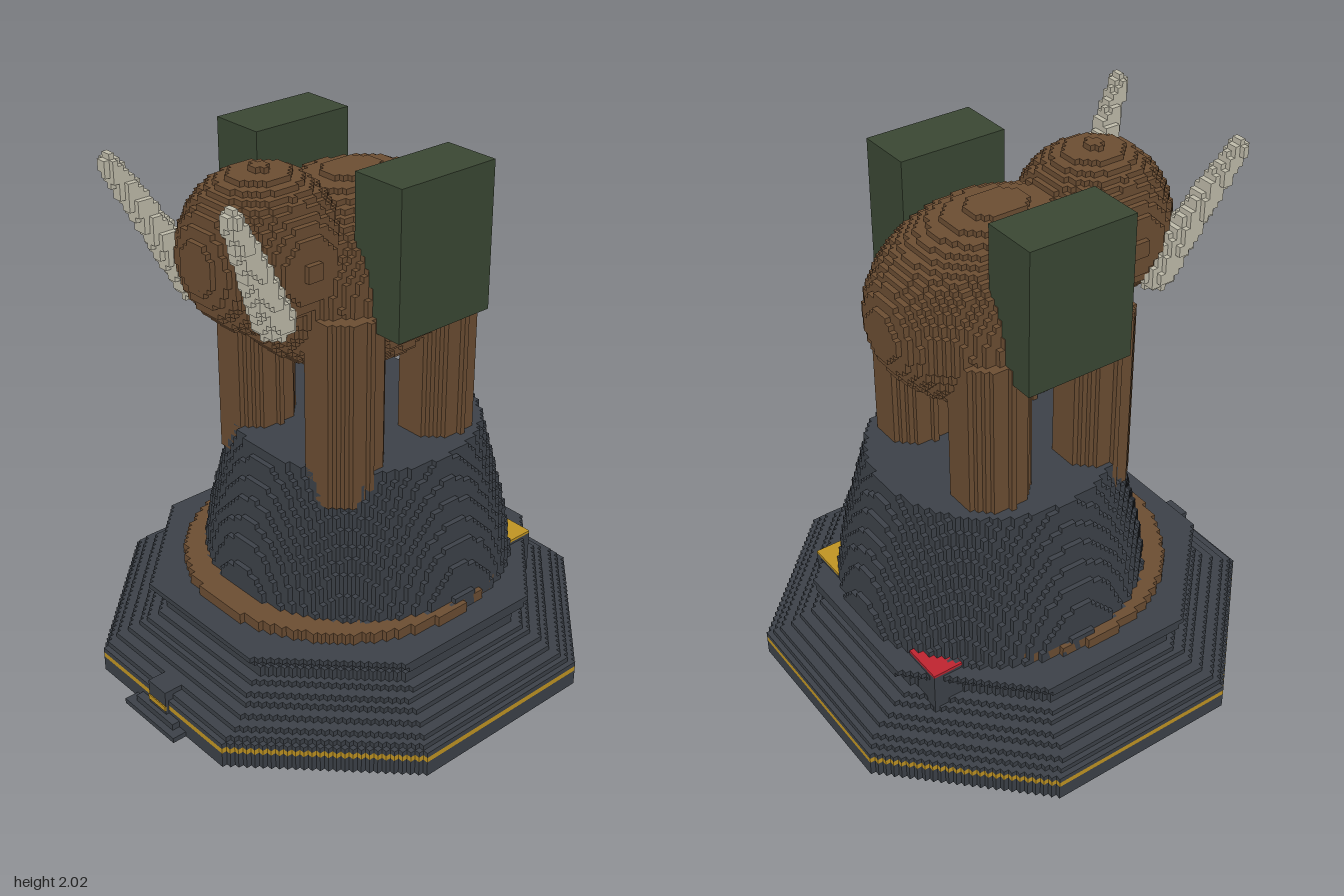
import * as THREE from 'three';

const S = 0.02; // size of one block

const mat = (name, color) => {
  const m = new THREE.MeshStandardMaterial({ color });
  m.name = name;
  return m;
};

// Turns a solid, given as a test inside(x, y, z), into a stepped block surface.
// Neighbouring faces along one axis are joined into strips.
function blocks(min, max, inside) {
  const lo = min.map(v => Math.round(v / S) - 1);
  const hi = max.map(v => Math.round(v / S) + 1);
  const n = lo.map((v, i) => hi[i] - v + 1);
  const cells = new Uint8Array(n[0] * n[1] * n[2]);
  const at = (i, j, k) => (i * n[1] + j) * n[2] + k;
  for (let i = 1; i < n[0] - 1; i++)
    for (let j = 1; j < n[1] - 1; j++)
      for (let k = 1; k < n[2] - 1; k++)
        if (inside((lo[0] + i + 0.5) * S, (lo[1] + j + 0.5) * S, (lo[2] + k + 0.5) * S)) cells[at(i, j, k)] = 1;

  const pos = [];
  const p = [0, 0, 0];
  for (let a = 0; a < 3; a++) {
    const b = (a + 1) % 3, c = (a + 2) % 3;
    for (const d of [1, -1])
      for (let u = 1; u < n[a] - 1; u++)
        for (let w = 1; w < n[c] - 1; w++) {
          let start = -1;
          for (let v = 1; v < n[b]; v++) {
            p[a] = u; p[b] = v; p[c] = w;
            let open = cells[at(...p)] === 1;
            if (open) { p[a] = u + d; open = cells[at(...p)] === 0; }
            if (open && start < 0) start = v;
            if (!open && start >= 0) {
              const corner = (bv, cv) => {
                const q = [0, 0, 0];
                q[a] = (lo[a] + u + (d > 0 ? 1 : 0)) * S;
                q[b] = (lo[b] + bv) * S;
                q[c] = (lo[c] + cv) * S;
                return q;
              };
              const f = [corner(start, w), corner(v, w), corner(v, w + 1), corner(start, w + 1)];
              if (d < 0) f.reverse();
              for (const t of [0, 1, 2, 0, 2, 3]) pos.push(...f[t]);
              start = -1;
            }
          }
        }
  }
  const g = new THREE.BufferGeometry();
  g.setAttribute('position', new THREE.Float32BufferAttribute(pos, 3));
  g.computeVertexNormals();
  return g;
}

// Linear lookup in a [height, radius] profile
function radiusAt(profile, y) {
  for (let i = 1; i < profile.length; i++) {
    const [y0, r0] = profile[i - 1], [y1, r1] = profile[i];
    if (y <= y1) return r0 + (r1 - r0) * (y - y0) / (y1 - y0);
  }
  return profile[profile.length - 1][1];
}

export function createModel() {
  const model = new THREE.Group();
  model.name = 'statue';
  const slate = mat('slate', 0x3c4148);
  const brown = mat('brown', 0x6b4d32);
  const green = mat('darkGreen', 0x3a4733);
  const ivory = mat('ivory', 0xbfbbaa);
  const gold = mat('gold', 0xc09423);
  const red = mat('red', 0xbe2430);

  const add = (name, geometry, material) => {
    const m = new THREE.Mesh(geometry, material);
    m.name = name;
    model.add(m);
  };
  const box = (name, material, x0, x1, y0, y1, z0, z1) => {
    const g = new THREE.BoxGeometry(x1 - x0, y1 - y0, z1 - z0);
    g.translate((x0 + x1) / 2, (y0 + y1) / 2, (z0 + z1) / 2);
    add(name, g, material);
  };

  // Octagonal base: slab, gold band and waisted plinth
  const baseZ = -0.033;
  const octagon = (x, z, r) => {
    const ax = Math.abs(x), az = Math.abs(z - baseZ);
    return Math.max(ax, az, (ax + az) * Math.SQRT1_2) < r;
  };
  const octagonPart = (y0, y1, radius) =>
    blocks([-0.9, y0, -0.94], [0.9, y1, 0.9], (x, y, z) => y > y0 && y < y1 && octagon(x, z, radius(y)));
  add('baseSlab', octagonPart(0, 0.06, () => 0.868), slate);
  add('goldBand', octagonPart(0.06, 0.08, () => 0.868), gold);
  add('baseTop', octagonPart(0.08, 0.1, () => 0.868), slate);
  const plinth = [[0.1, 0.86], [0.13, 0.82], [0.16, 0.76], [0.2, 0.69], [0.23, 0.635],
    [0.27, 0.63], [0.3, 0.66], [0.315, 0.69], [0.34, 0.69]];
  add('plinth', octagonPart(0.1, 0.34, y => radiusAt(plinth, y)), slate);

  // Small stepped block at the front of the base
  box('frontStepLower', slate, -0.147, 0.147, 0, 0.02, 0.8, 0.895);
  box('frontStepMiddle', slate, -0.11, 0.11, 0.02, 0.045, 0.8, 0.87);
  box('frontStepUpper', slate, -0.05, 0.05, 0.04, 0.14, 0.76, 0.853);
  box('frontStepBand', gold, -0.05, 0.05, 0.06, 0.08, 0.85, 0.857);

  // Rear corner blocks with coloured caps
  for (const [side, material, name] of [[-1, red, 'redCap'], [1, gold, 'goldCap']]) {
    const x0 = side < 0 ? -0.41 : 0.25, x1 = x0 + 0.16;
    box('rearBlock', slate, x0, x1, 0.15, 0.35, -0.638, -0.5);
    box(name, material, x0, x1, 0.35, 0.36, -0.638, -0.5);
  }

  // Round tapering pedestal, set back on a thin brown disc
  const pedestalZ = -0.107;
  add('brownRing', blocks([-0.64, 0.34, -0.66], [0.64, 0.36, 0.6],
    (x, y, z) => Math.hypot(x, z - baseZ) < 0.595), brown);
  const taper = [[0.34, 0.58], [0.55, 0.545], [0.9, 0.452]];
  add('pedestal', blocks([-0.62, 0.34, -0.74], [0.62, 0.9, 0.54],
    (x, y, z) => Math.hypot(x, z - pedestalZ) < radiusAt(taper, y)), slate);

  // Animal: body and head as ellipsoids
  const ellipsoid = (cx, cy, cz, rx, ry, rz) => blocks(
    [cx - rx - S, cy - ry - S, cz - rz - S], [cx + rx + S, cy + ry + S, cz + rz + S],
    (x, y, z) => ((x - cx) / rx) ** 2 + ((y - cy) / ry) ** 2 + ((z - cz) / rz) ** 2 < 1);
  add('body', ellipsoid(0, 1.53, -0.07, 0.375, 0.35, 0.475), brown);
  add('head', ellipsoid(0, 1.69, 0.33, 0.272, 0.282, 0.275), brown);

  for (const side of [-1, 1]) {
    const label = side > 0 ? 'left' : 'right';

    // Legs
    for (const [name, cz] of [['FrontLeg', 0.17], ['BackLeg', -0.27]]) {
      const cx = side * 0.24;
      add(label + name, blocks([cx - 0.16, 0.8, cz - 0.16], [cx + 0.16, 1.5, cz + 0.16],
        (x, y, z) => y > 0.8 && y < 1.5 && Math.hypot(x - cx, z - cz) < 0.131), brown);
    }

    // Tusks: tapering rods leaning outward and forward
    const a = new THREE.Vector3(side * 0.21, 1.54, 0.45);
    const axis = new THREE.Vector3(side * 0.32, 1.98, 0.69).sub(a);
    const q = new THREE.Vector3();
    add(label + 'Tusk', blocks([side * 0.27 - 0.2, 1.44, 0.34], [side * 0.27 + 0.2, 2, 0.8], (x, y, z) => {
      q.set(x, y, z).sub(a);
      const t = THREE.MathUtils.clamp(q.dot(axis) / axis.lengthSq(), 0, 1);
      return q.addScaledVector(axis, -t).length() < 0.065 - 0.033 * t;
    }), ivory);

    // Side boxes
    const inner = side * 0.25, outer = side * 0.467;
    box(label + 'SideBox', green, Math.min(inner, outer), Math.max(inner, outer), 1.445, 1.98, -0.277, 0.139);
  }
  return model;
}
